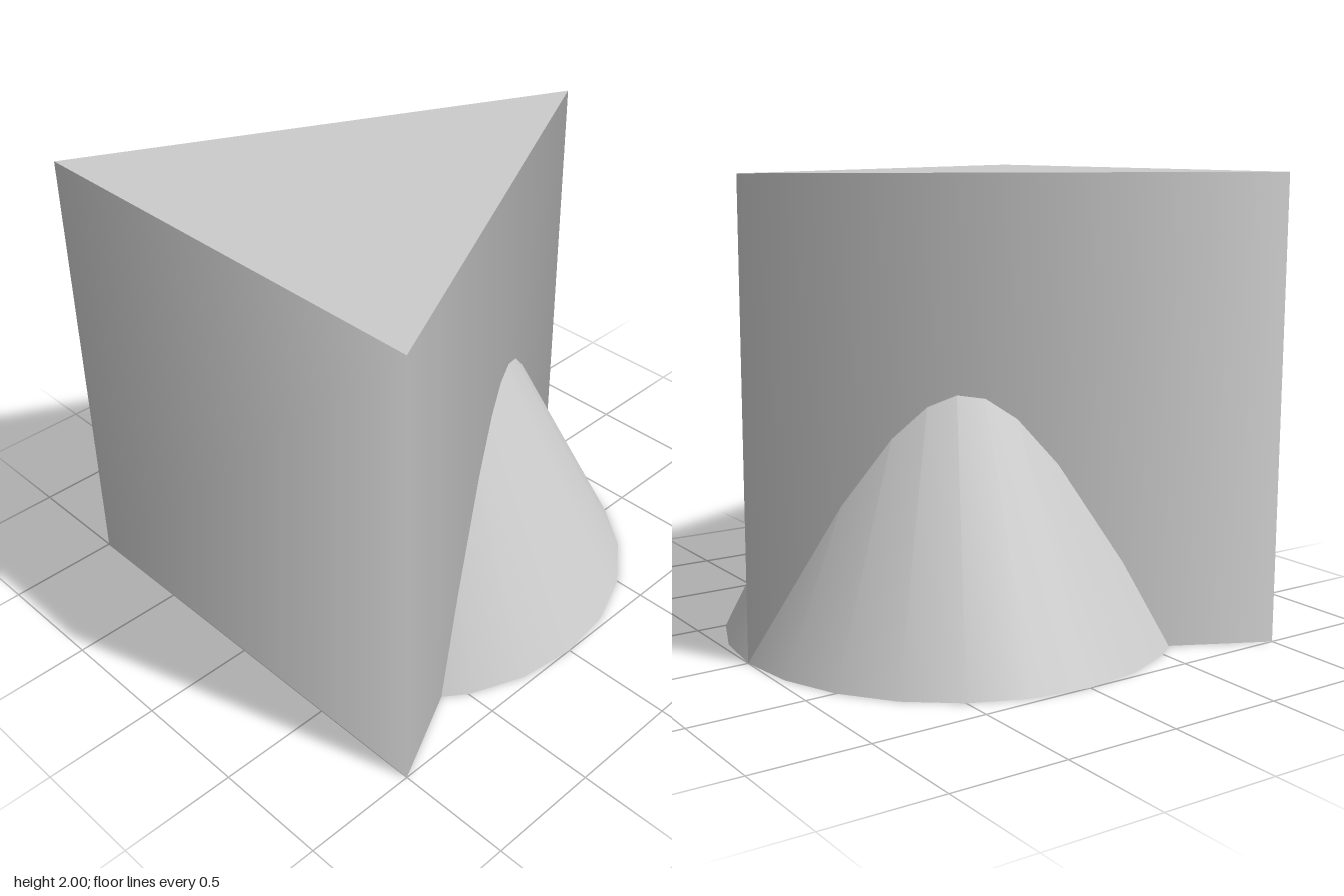
import * as THREE from 'three';

const HEIGHT = 2;

export function createModel() {
  const group = new THREE.Group();
  const material = new THREE.MeshStandardMaterial({ color: 0xcccccc });

  const addPart = (name, geometry) => {
    const mesh = new THREE.Mesh(geometry, material);
    mesh.name = name;
    group.add(mesh);
  };

  // Triangular prism: three-sided smooth cylinder, apex to the back,
  // stretched to fill the 2 x 2 footprint
  const prism = new THREE.CylinderGeometry(1, 1, HEIGHT, 3, 1, false, Math.PI);
  prism.scale(2 / Math.sqrt(3), 1, 4 / 3);
  prism.translate(0, HEIGHT / 2, 1 / 3);
  addPart('triangularPrism', prism);

  // Cone standing in the middle, its tip reaching the prism's top
  const cone = new THREE.ConeGeometry(1, HEIGHT, 24);
  cone.translate(0, HEIGHT / 2, 0);
  addPart('cone', cone);

  return group;
}
